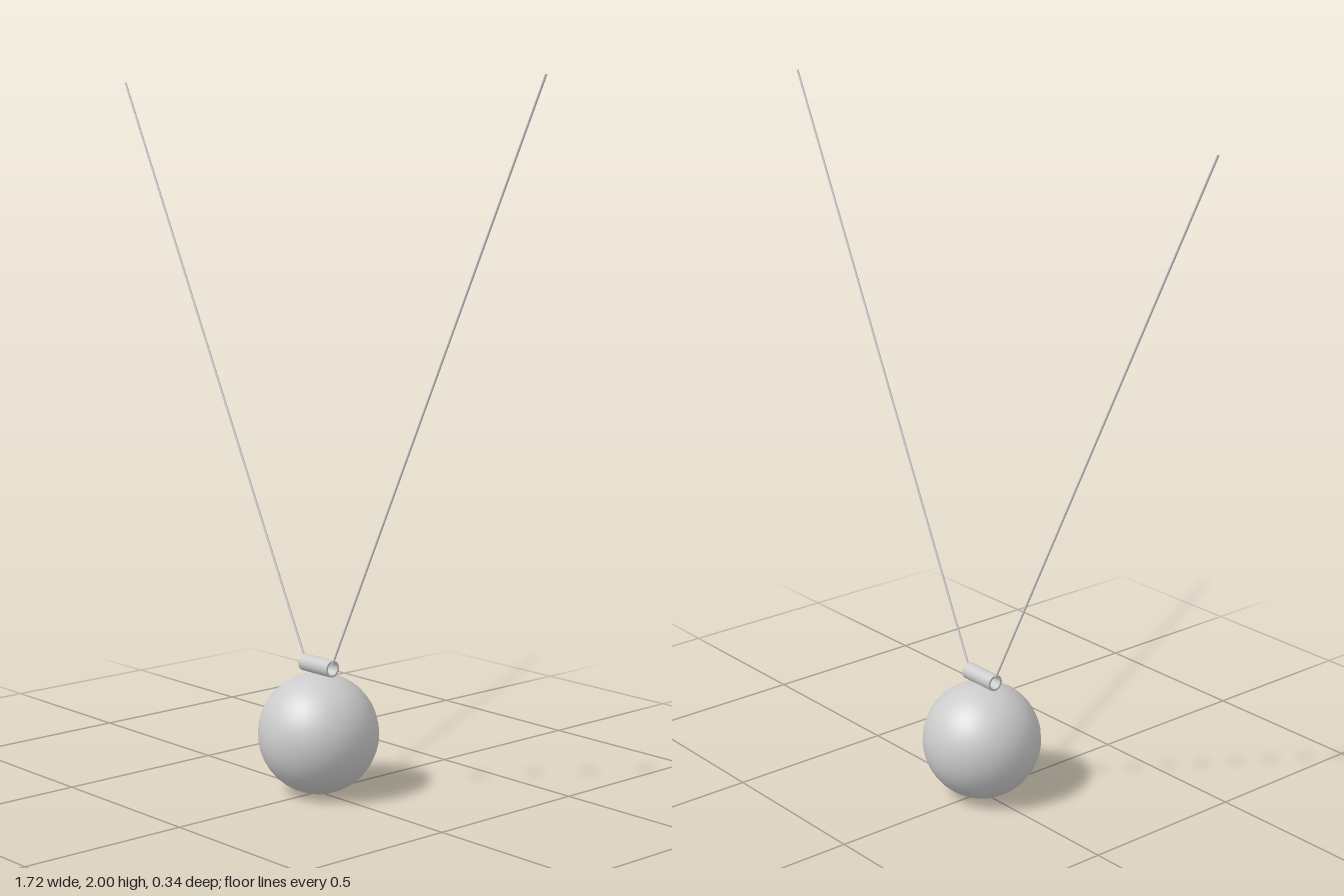
import * as THREE from 'three';

export function createModel() {
  const group = new THREE.Group();
  const grey = new THREE.MeshStandardMaterial({ color: 0xcccccc });
  const thin = new THREE.MeshStandardMaterial({ color: 0xcccccc, side: THREE.DoubleSide });
  const add = (parent, name, geometry, material = grey) => {
    const mesh = new THREE.Mesh(geometry, material);
    mesh.name = name;
    parent.add(mesh);
    return mesh;
  };

  // Round pendant ball
  const R = 0.172;
  add(group, 'pendantBall', new THREE.SphereGeometry(R, 32, 20)).position.y = R;

  // Hollow bail lying across the top of the ball
  const outer = 0.024, inner = 0.018, half = 0.06, bailY = 0.367;
  const bail = new THREE.Group();
  bail.name = 'bail';
  bail.position.y = bailY;
  group.add(bail);
  for (const [name, r] of [['bailOuterWall', outer], ['bailInnerWall', inner]]) {
    const wall = new THREE.CylinderGeometry(r, r, half * 2, 24, 1, true).rotateZ(Math.PI / 2);
    add(bail, name, wall, thin);
  }
  for (const side of [-1, 1]) {
    const rim = new THREE.RingGeometry(inner, outer, 24).rotateY(side * Math.PI / 2);
    add(bail, side > 0 ? 'leftRim' : 'rightRim', rim).position.x = side * half;
  }

  // Cord: two straight strands rising from the bail, joined through it
  const cordR = 0.003, cordY = bailY + inner - cordR;
  const strand = (name, a, b) =>
    add(group, name, new THREE.TubeGeometry(new THREE.LineCurve3(a, b), 1, cordR, 8), thin);
  const low = (s) => new THREE.Vector3(s * half, cordY, 0);
  for (const s of [-1, 1]) {
    strand(s > 0 ? 'leftCord' : 'rightCord', low(s), new THREE.Vector3(s * 0.856, 1.999, 0.015));
  }
  strand('cordThroughBail', low(-1), low(1));

  return group;
}
